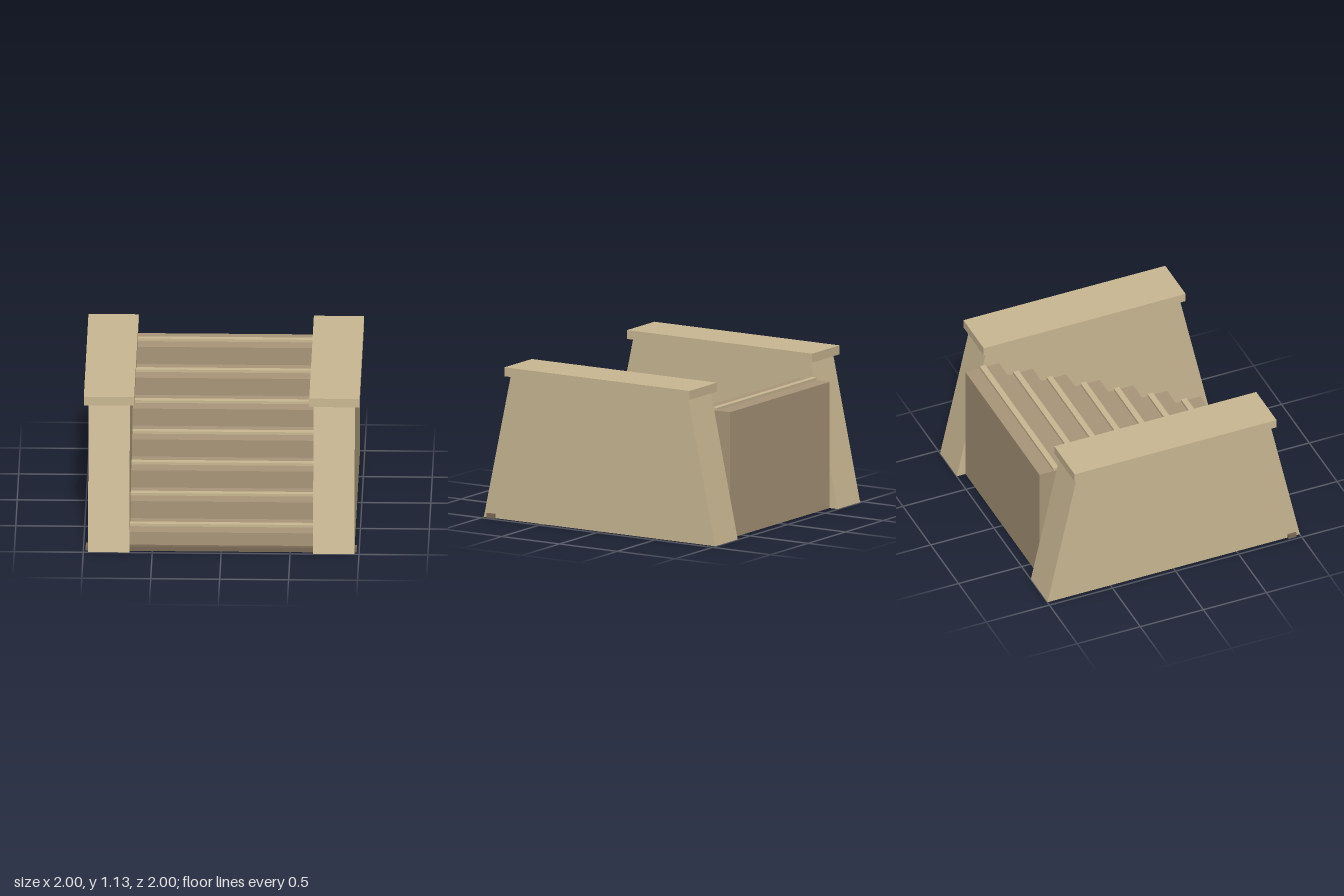
import * as THREE from 'three';

const sand = new THREE.MeshStandardMaterial({ name: 'sandstone', color: 0xcab893 });
const tan = new THREE.MeshStandardMaterial({ name: 'stepStone', color: 0xa89679 });
const dark = new THREE.MeshStandardMaterial({ name: 'darkStone', color: 0x7a6a56 });

const STEPS = 7, RUN = 1.862 / STEPS, RISE = 0.935 / STEPS, FRONT = 0.931;
const FLOOR = 0.002; // keeps the base strip's underside clear of the other parts

function box(name, mat, w, h, d, x, y, z) {
  const mesh = new THREE.Mesh(new THREE.BoxGeometry(w, h, d), mat);
  mesh.name = name;
  mesh.position.set(x, y, z);
  return mesh;
}

// Extrudes a side profile of [z, y] points along x, centred on x
function extrudeAcross(name, mat, points, width, x) {
  const shape = new THREE.Shape(points.map(([z, y]) => new THREE.Vector2(-z, y)));
  const geo = new THREE.ExtrudeGeometry(shape, { depth: width, bevelEnabled: false });
  geo.translate(0, 0, -width / 2).rotateY(Math.PI / 2);
  const mesh = new THREE.Mesh(geo, mat);
  mesh.name = name;
  mesh.position.x = x;
  return mesh;
}

export function createModel() {
  const model = new THREE.Group();
  model.name = 'staircase';

  // Solid flight of steps
  const profile = [[-FRONT, FLOOR], [FRONT, FLOOR]];
  for (let i = 0; i < STEPS; i++) {
    const z = FRONT - i * RUN, y = (i + 1) * RISE;
    profile.push([z, y], [z - RUN, y]);
  }
  model.add(extrudeAcross('steps', tan, profile, 1.33, 0));

  // Raised strip along the middle of each tread
  for (let i = 0; i < STEPS; i++) {
    model.add(box('treadStrip', sand, 1.33, 0.02, 0.043,
      0, (i + 1) * RISE + 0.01, FRONT - (i + 0.5) * RUN));
  }

  // Tapered side walls with overhanging caps
  for (const side of [-1, 1]) {
    const name = side > 0 ? 'left' : 'right';
    model.add(extrudeAcross(name + 'Wall', sand,
      [[-1, FLOOR], [1, FLOOR], [0.767, 1.07], [-0.767, 1.07]], 0.3, side * 0.816));
    model.add(box(name + 'WallCap', sand, 0.365, 0.066, 1.6, side * 0.8175, 1.102, 0));
  }

  // Dark strip at the foot of the stairs, passing through both walls
  model.add(box('baseStrip', dark, 1.966, 0.035, 0.066, 0, 0.0175, 0.934));

  return model;
}
